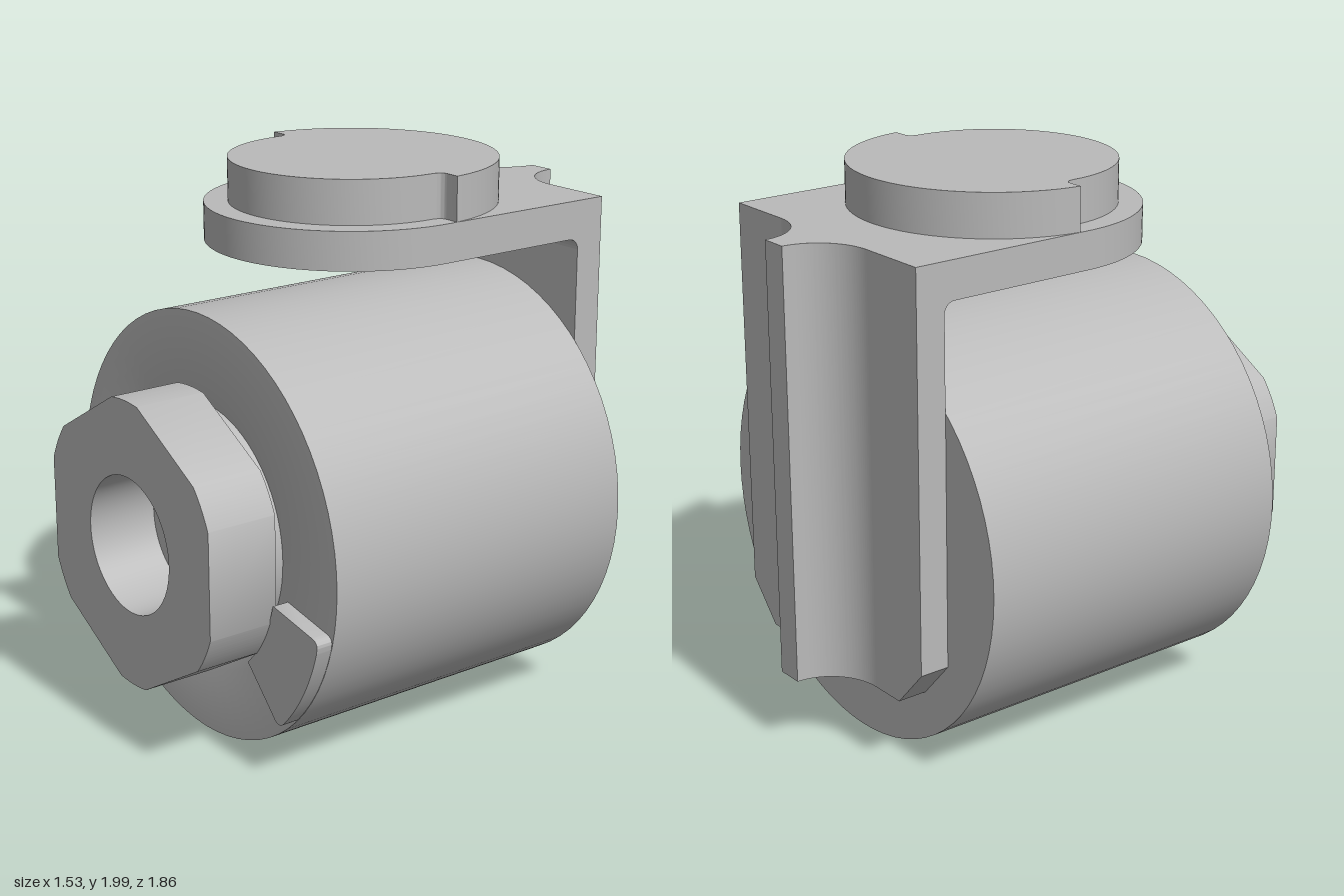
import * as THREE from 'three';
import { toCreasedNormals } from 'three/addons/utils/BufferGeometryUtils.js';

const AXIS_Y = 0.775; // height of the main cylinder axis
const HALF = 0.515;   // half width of the bracket

export function createModel() {
  const group = new THREE.Group();
  const steel = new THREE.MeshStandardMaterial({ color: 0xbababa });
  steel.name = 'steelGrey';

  const add = (name, geometry, x = 0, y = 0, z = 0) => {
    const mesh = new THREE.Mesh(toCreasedNormals(geometry, 0.5), steel);
    mesh.name = name;
    mesh.position.set(x, y, z);
    group.add(mesh);
    return mesh;
  };
  const extrude = (shape, depth) =>
    new THREE.ExtrudeGeometry(shape, { depth, bevelEnabled: false, curveSegments: 32 });
  // Plan shapes are drawn as (x, -z) and extruded upwards
  const extrudeUp = (shape, depth) => extrude(shape, depth).rotateX(-Math.PI / 2);

  // Main barrel with a shallow dished seat and a collar carrying the nut
  const profile = [
    [0, -0.63], [0.765, -0.63], [0.765, 0.63], [HALF, 0.63],
    [0.445, 0.61], [0.445, 0.67], [0, 0.67],
  ].map(([r, h]) => new THREE.Vector2(r, h));
  add('barrel', new THREE.LatheGeometry(profile, 72).rotateX(Math.PI / 2), 0, AXIS_Y, 0);

  // Hex nut with rounded-off corners and a round bore
  const nut = new THREE.Shape();
  const flat = Math.acos(0.48 / HALF);
  for (let k = 0; k < 6; k++) {
    const a = k * Math.PI / 3;
    nut.absarc(0, 0, HALF, a + flat, a + Math.PI / 3 - flat, false);
  }
  nut.closePath();
  nut.holes.push(new THREE.Path().absarc(0, 0, 0.245, 0, Math.PI * 2, true));
  add('hexNut', extrude(nut, 0.265), 0, AXIS_Y, 0.665);

  // Raised stop on the front face
  const stop = new THREE.Shape();
  stop.moveTo(0.5, -0.12);
  stop.lineTo(0.7, -0.16);
  stop.quadraticCurveTo(0.745, -0.165, 0.735, -0.2);
  stop.absarc(0, 0, 0.763, -0.275, -0.76, true);
  stop.quadraticCurveTo(0.52, -0.56, 0.49, -0.52);
  stop.lineTo(0.36, -0.385);
  stop.absarc(0, 0, 0.51, -0.82, -0.24, false);
  add('frontStop', extrude(stop, 0.065), 0, AXIS_Y, 0.625);

  // Upright bracket plate with chamfered lower corners
  const plate = new THREE.Shape();
  plate.moveTo(-HALF + 0.13, 0.29);
  plate.lineTo(HALF - 0.13, 0.29);
  plate.lineTo(HALF, 0.435);
  plate.lineTo(HALF, 1.845);
  plate.lineTo(-HALF, 1.845);
  plate.lineTo(-HALF, 0.435);
  add('bracketPlate', extrude(plate, 0.11), 0, 0, -0.74);

  // Back rib with concave flanks
  const rib = new THREE.Shape();
  rib.moveTo(-0.25, 0.735);
  rib.lineTo(0.25, 0.735);
  rib.absellipse(0.25, 0.93, 0.2, 0.19, -Math.PI / 2, -Math.PI, true);
  rib.lineTo(-0.05, 0.93);
  rib.absellipse(-0.25, 0.93, 0.2, 0.19, 0, -Math.PI / 2, true);
  add('backRib', extrudeUp(rib, 1.555), 0, 0.29, 0);

  // Horizontal arm with a rounded front end
  const arm = new THREE.Shape();
  arm.moveTo(HALF, 0.63);
  arm.lineTo(-HALF, 0.63);
  arm.lineTo(-HALF, 0.025);
  arm.absarc(0, 0.025, HALF, Math.PI, Math.PI * 2, false);
  add('bracketArm', extrudeUp(arm, 0.135), 0, 1.71, 0);

  // Small fillet under the arm, drawn as (-z, y) and extruded across x
  const fillet = new THREE.Shape();
  fillet.moveTo(0.63, 1.71);
  fillet.lineTo(0.59, 1.71);
  fillet.absarc(0.59, 1.67, 0.04, Math.PI / 2, 0, true);
  add('armFillet', extrude(fillet, HALF * 2).rotateY(Math.PI / 2), -HALF, 0, 0);

  // Top boss: wide at the back, stepped to a smaller radius at the front
  const boss = new THREE.Shape();
  const step = Math.asin(0.045 / HALF);
  boss.absarc(0, 0.025, HALF, step, Math.PI - step, false);
  boss.lineTo(-0.46, 0.07);
  boss.quadraticCurveTo(-0.43, 0.07, -0.43, 0.025);
  boss.absarc(0, 0.025, 0.43, Math.PI, Math.PI * 2, false);
  boss.quadraticCurveTo(0.43, 0.07, 0.46, 0.07);
  add('topBoss', extrudeUp(boss, 0.155), 0, 1.845, 0);

  return group;
}
